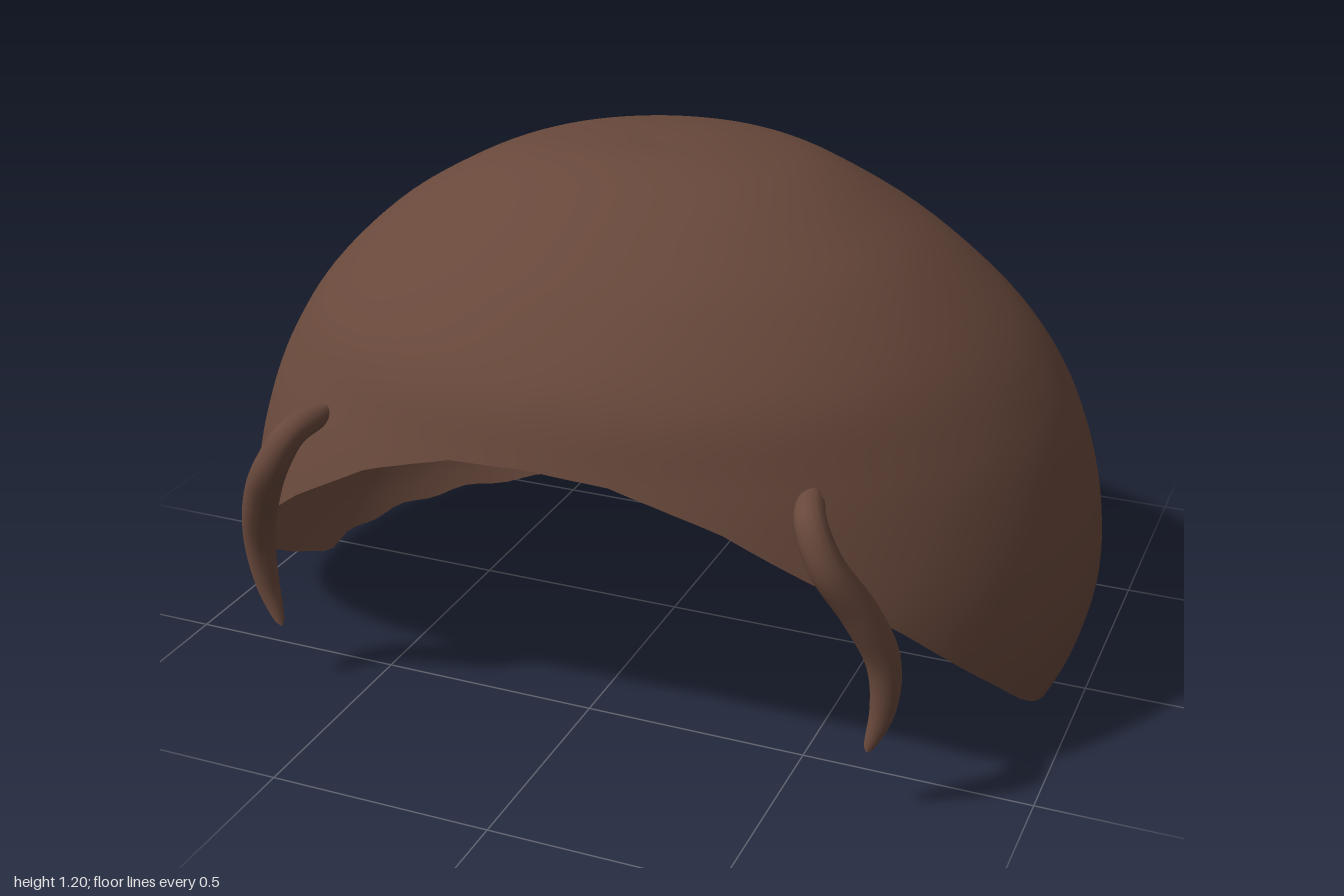
import * as THREE from 'three';

const hair = new THREE.MeshStandardMaterial({ color: 0x68483b, side: THREE.DoubleSide });
hair.name = 'brown hair';

// Horizontal cross-sections from hem to crown: [height, half width, front depth, back depth]
const SECTIONS = [
  [0, 0.92, 0.9, 0.71], [0.1, 0.965, 0.9, 0.76], [0.25, 0.998, 0.89, 0.785], [0.4, 0.993, 0.87, 0.775],
  [0.55, 0.96, 0.83, 0.745], [0.7, 0.898, 0.787, 0.69], [0.85, 0.793, 0.735, 0.607], [1.0, 0.632, 0.605, 0.48],
  [1.1, 0.475, 0.465, 0.355], [1.16, 0.345, 0.35, 0.245], [1.19, 0.21, 0.26, 0.1], [1.2, 0.1, 0.19, -0.02],
  [1.2, 0, 0.1, -0.1],
];
// Hem height by angle away from the front: [angle, height]
const HEM = [[0, 0.712], [0.19, 0.7], [0.3, 0.668], [0.43, 0.625], [0.55, 0.56], [0.68, 0.49], [0.83, 0.395],
  [1.0, 0.275], [1.2, 0.145], [1.36, 0.06], [1.5, 0.012], [Math.PI, 0.01]];

// Smooth interpolation through the cross-sections
function section(s) {
  const n = SECTIONS.length - 1;
  const i = Math.min(Math.floor(s), n - 1), t = s - i;
  const row = (k) => SECTIONS[Math.max(0, Math.min(n, k))];
  return [0, 1, 2, 3].map((c) => {
    const p = row(i - 1)[c], q = row(i)[c], r = row(i + 1)[c], u = row(i + 2)[c];
    return q + 0.5 * t * (r - p + t * (2 * p - 5 * q + 4 * r - u + t * (3 * (q - r) + u - p)));
  });
}

function hemHeight(angle) {
  const a = Math.min(angle, Math.PI * 2 - angle);
  let i = 0;
  while (i < HEM.length - 2 && a > HEM[i + 1][0]) i++;
  const [a0, y0] = HEM[i], [a1, y1] = HEM[i + 1];
  const wave = 0.005 * Math.sin(a * 24) * THREE.MathUtils.smoothstep(a, 1, 1.6);
  return Math.max(0.003, y0 + (y1 - y0) * (a - a0) / (a1 - a0) + wave);
}

// Find the section parameter at a given height
function sectionAt(y) {
  let lo = 0, hi = 8;
  for (let k = 0; k < 30; k++) {
    const mid = (lo + hi) / 2;
    if (section(mid)[0] < y) lo = mid; else hi = mid;
  }
  return lo;
}

// Open hair shell with a high front hem
function makeShell() {
  const around = 128, up = 56, pos = [], index = [];
  const top = SECTIONS.length - 1;
  for (let i = 0; i < around; i++) {
    const angle = i / around * Math.PI * 2;
    const start = sectionAt(hemHeight(angle));
    for (let j = 0; j <= up; j++) {
      const [y, width, front, back] = section(start + (top - start) * j / up);
      const centre = 0.1 * THREE.MathUtils.smoothstep(y, 0.7, 1.2);
      const depth = Math.cos(angle) > 0 ? front - centre : back + centre;
      pos.push(width * Math.sin(angle), y, centre + depth * Math.cos(angle));
      if (j < up) {
        const a = i * (up + 1) + j, b = ((i + 1) % around) * (up + 1) + j;
        index.push(a, b, b + 1);
        if (j < up - 1) index.push(a, b + 1, a + 1);
      }
    }
  }
  const geo = new THREE.BufferGeometry();
  geo.setAttribute('position', new THREE.Float32BufferAttribute(pos, 3));
  geo.setIndex(index);
  geo.computeVertexNormals();
  return geo;
}

// Loose tapered lock hanging from the front hem
function makeLock(side) {
  const path = new THREE.CatmullRomCurve3([
    [0.545, 0.685, 0.6], [0.553, 0.685, 0.655], [0.575, 0.67, 0.72], [0.615, 0.6, 0.742],
    [0.675, 0.49, 0.705], [0.715, 0.37, 0.665], [0.713, 0.25, 0.652], [0.684, 0.147, 0.653],
  ].map(([x, y, z]) => new THREE.Vector3(side * x, y, z)));
  const rings = 48, sides = 14;
  const geo = new THREE.TubeGeometry(path, rings, 1, sides);
  const pos = geo.attributes.position, v = new THREE.Vector3();
  for (let r = 0; r <= rings; r++) {
    const t = r / rings, c = path.getPointAt(t);
    const belly = 0.025 + 0.014 * Math.sin(Math.PI * Math.min(1, t * 1.05));
    const radius = belly * Math.sqrt(Math.max(0, 1 - Math.pow(t, 9))) * Math.min(1, 0.3 + t * 8);
    for (let k = 0; k <= sides; k++) {
      const i = r * (sides + 1) + k;
      v.fromBufferAttribute(pos, i).sub(c).multiplyScalar(radius).add(c);
      pos.setXYZ(i, v.x, v.y, v.z);
    }
  }
  return geo;
}

export function createModel() {
  const group = new THREE.Group();
  group.name = 'hairpiece';
  const add = (name, geo) => {
    const mesh = new THREE.Mesh(geo, hair);
    mesh.name = name;
    group.add(mesh);
  };
  add('hairShell', makeShell());
  add('leftLock', makeLock(1));
  add('rightLock', makeLock(-1));
  return group;
}
